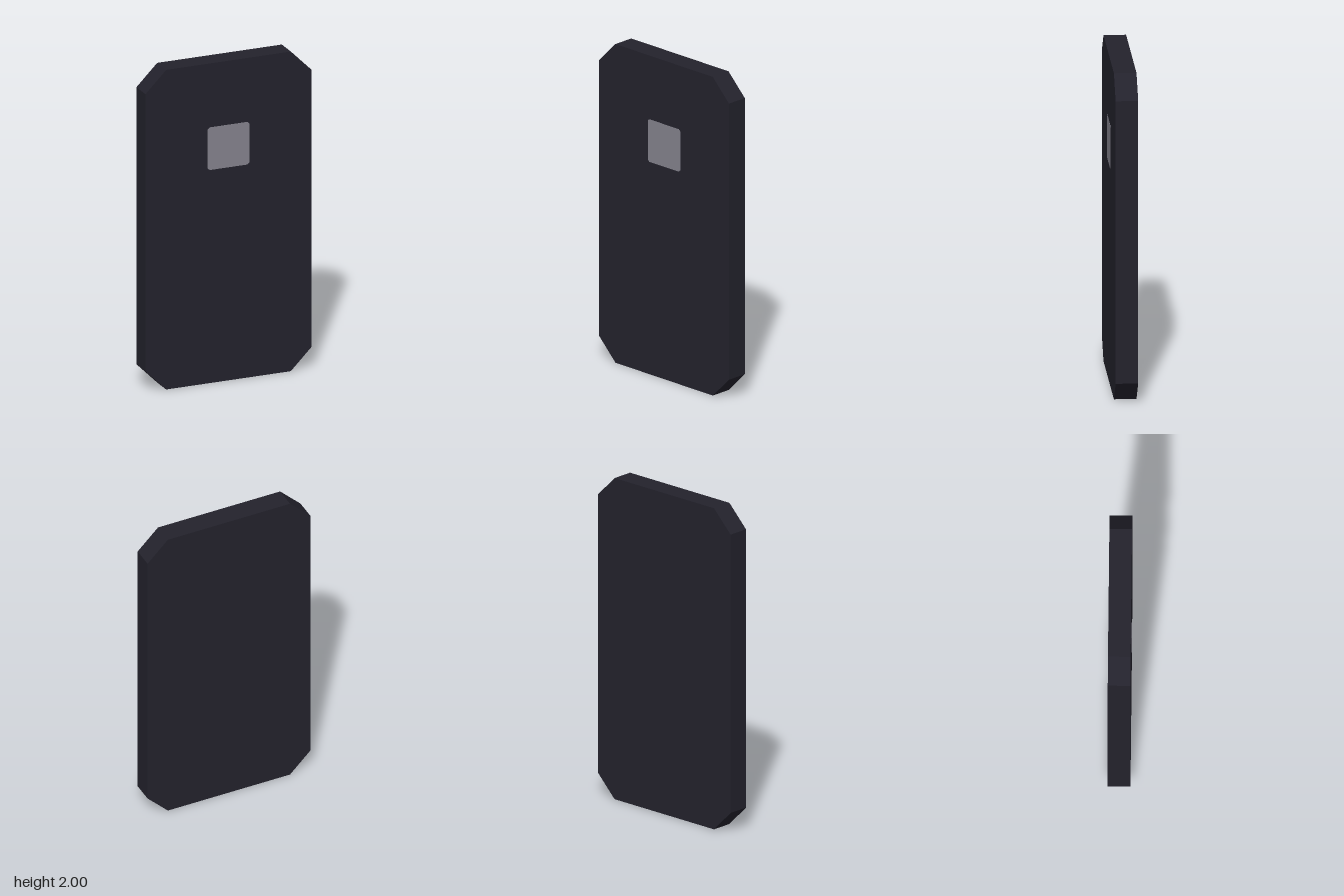
import * as THREE from 'three';

// Rectangle centred on the origin with its corners cut at 45 degrees
function cutRect(w, h, c) {
  const x = w / 2, y = h / 2;
  return new THREE.Shape([
    [-x + c, -y], [x - c, -y], [x, -y + c], [x, y - c],
    [x - c, y], [-x + c, y], [-x, y - c], [-x, -y + c],
  ].map(([px, py]) => new THREE.Vector2(px, py)));
}

function slab(name, shape, depth, material, y, z) {
  const geometry = new THREE.ExtrudeGeometry(shape, { depth, bevelEnabled: false });
  const mesh = new THREE.Mesh(geometry, material);
  mesh.name = name;
  mesh.position.set(0, y, z);
  return mesh;
}

export function createModel() {
  const dark = new THREE.MeshStandardMaterial({ color: 0x23222c });
  dark.name = 'dark slate';
  const grey = new THREE.MeshStandardMaterial({ color: 0x84828d });
  grey.name = 'light grey';

  const depth = 0.1333;
  const group = new THREE.Group();
  group.name = 'panel';

  // Flat body with chamfered corners
  group.add(slab('body', cutRect(1.0667, 2, 0.1333), depth, dark, 1, -depth / 2));

  // Thin square inlay on the front face
  group.add(slab('frontSquare', cutRect(0.2667, 0.2667, 0.012), 0.002, grey, 1.4667, depth / 2 - 0.001));

  return group;
}
